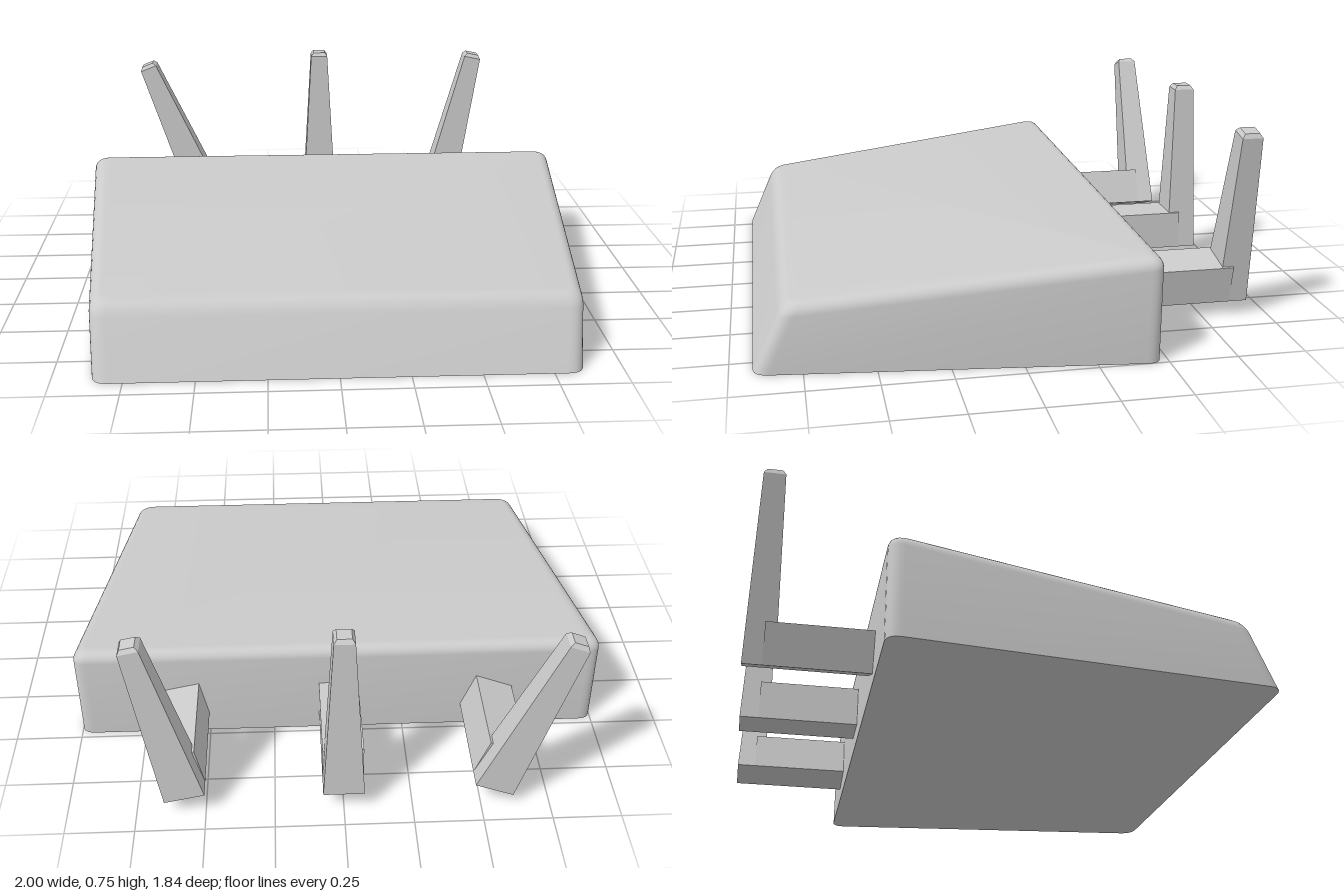
import * as THREE from 'three';
import { toCreasedNormals } from 'three/addons/utils/BufferGeometryUtils.js';

const material = new THREE.MeshStandardMaterial({ color: 0xcccccc });

// Closed solid through rings of points, each counterclockwise from above, bottom to top
function loft(rings, crease) {
  const n = rings[0].length;
  const points = rings.flat();
  const index = [];
  for (let r = 0; r < rings.length - 1; r++) {
    for (let i = 0; i < n; i++) {
      const a = r * n + i, b = r * n + (i + 1) % n;
      index.push(a, b, b + n, a, b + n, a + n);
    }
  }
  const last = (rings.length - 1) * n;
  for (let i = 1; i < n - 1; i++) {
    index.push(0, i + 1, i);
    index.push(last, last + i, last + i + 1);
  }
  const geometry = new THREE.BufferGeometry().setFromPoints(points);
  geometry.setIndex(index);
  return toCreasedNormals(geometry, crease);
}

// Four-sided outline in x/z with rounded corners
function roundedOutline(corners, radius) {
  const out = [];
  corners.forEach((p, i) => {
    const before = corners[(i + 3) % 4], after = corners[(i + 1) % 4];
    const start = p.clone().add(before.clone().sub(p).setLength(radius));
    const end = p.clone().add(after.clone().sub(p).setLength(radius));
    out.push(...new THREE.QuadraticBezierCurve(start, p, end).getPoints(6));
  });
  return out;
}

// Wedge body: tapered plan, sloping top, raked front, rounded upper edges
function bodyGeometry() {
  const topY = z => 0.336 - 0.106 * z;
  const ring = (drop, inset, grounded) => {
    const front = grounded ? 0.92 : 0.81 + 0.44 * drop - inset * 0.6;
    const back = -0.475 + inset;
    const half = z => 1.005 - 0.108 * (z + 0.47) - inset;
    const corners = [
      [-half(front), front], [half(front), front],
      [half(back), back], [-half(back), back],
    ].map(c => new THREE.Vector2(...c));
    return roundedOutline(corners, 0.055 - inset * 0.4)
      .map(p => new THREE.Vector3(p.x, grounded ? 0 : topY(p.y) - drop, p.y));
  };
  const radius = 0.045, steps = 6;
  const rings = [ring(0, 0, true)];
  for (let i = 0; i <= steps; i++) {
    const a = i / steps * Math.PI / 2;
    rings.push(ring(radius * (1 - Math.sin(a)), radius * (1 - Math.cos(a))));
  }
  return loft(rings, 0.6);
}

// Tapering upright with a chamfered tip; origin at the centre of its arm
function uprightGeometry() {
  const ring = (y, half, back, front) => [
    [-half, front], [half, front], [half, back], [-half, back],
  ].map(([x, z]) => new THREE.Vector3(x, y, z));
  return loft([
    ring(-0.075, 0.075, -0.92, -0.805),
    ring(0.592, 0.037, -0.897, -0.82),
    ring(0.607, 0.026, -0.886, -0.831),
  ], 0.1);
}

export function createModel() {
  const model = new THREE.Group();
  model.name = 'wedgeWithPegs';
  const add = (parent, geometry, name) => {
    const mesh = new THREE.Mesh(geometry, material);
    mesh.name = name;
    parent.add(mesh);
    return mesh;
  };

  add(model, bodyGeometry(), 'body');

  // L-shaped pegs along the back, the outer two leaning outwards
  const upright = uprightGeometry();
  const arm = new THREE.BoxGeometry(0.15, 0.15, 0.39).translate(0, 0, -0.655);
  const pegs = [
    ['rightPeg', -0.573, 0.138, 0.375],
    ['middlePeg', 0, 0.146, 0],
    ['leftPeg', 0.59, 0.145, -0.213],
  ];
  for (const [name, x, y, lean] of pegs) {
    const peg = new THREE.Group();
    peg.name = name;
    add(peg, arm, 'arm');
    add(peg, upright, 'upright');
    peg.position.set(x, y, 0);
    peg.rotation.z = lean;
    model.add(peg);
  }
  return model;
}
